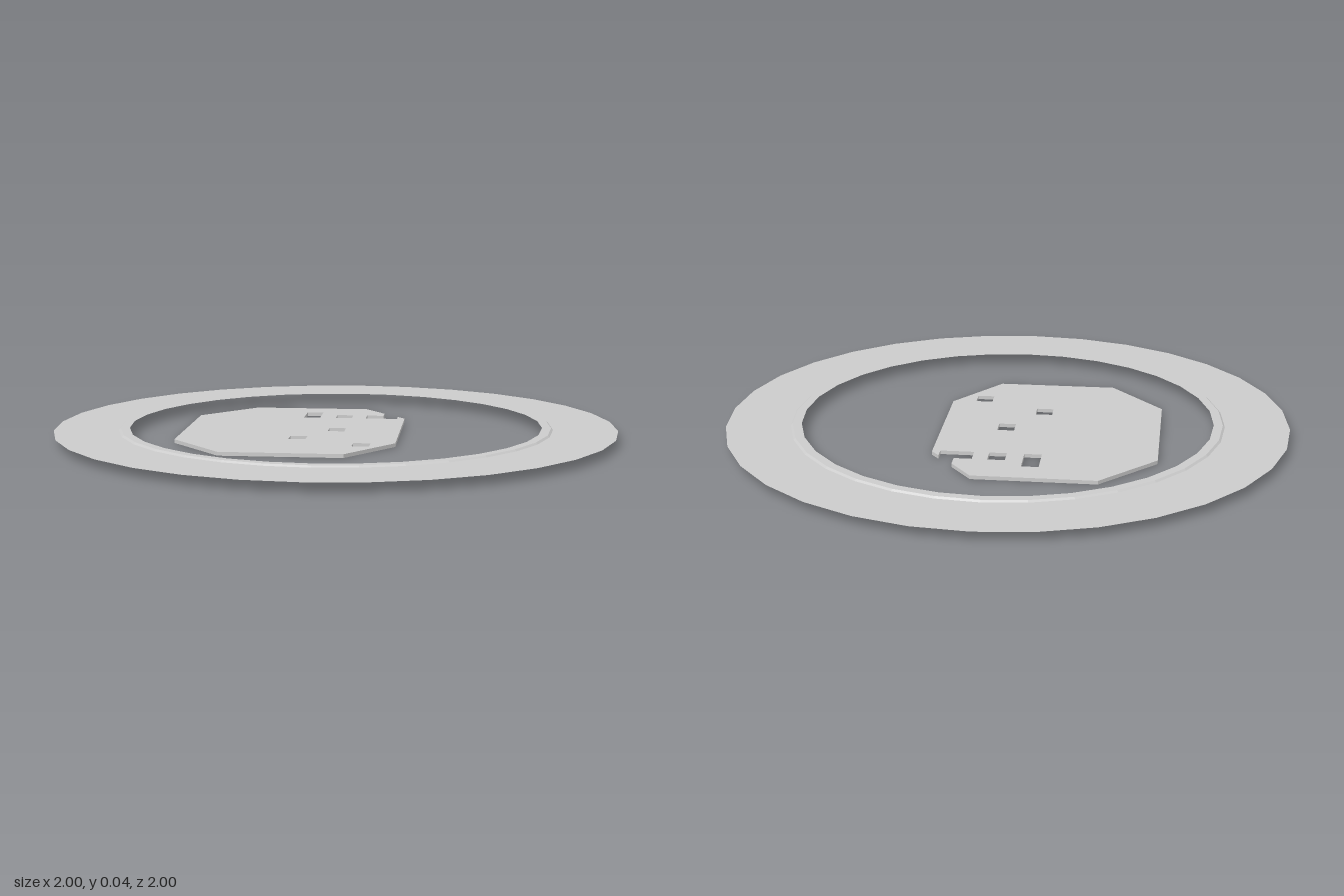
import * as THREE from 'three';

const material = new THREE.MeshStandardMaterial({ color: 0xcccccc, flatShading: true, side: THREE.DoubleSide });

// Turns [x, z] floor-plan corners into shape points
const plan = (corners) => corners.map(([x, z]) => new THREE.Vector2(x, -z));

function createPlate() {
  // Octagonal outline with a small notch in the back left corner
  const shape = new THREE.Shape(plan([
    [-0.355, -0.505], [-0.545, -0.3], [-0.545, 0.217], [-0.355, 0.437],
    [0.07, 0.437], [0.228, 0.217], [0.228, -0.3], [0.2, -0.335],
    [0.2, -0.29], [0.083, -0.29], [0.083, -0.355], [0.145, -0.355],
    [0.145, -0.405], [0.07, -0.505],
  ]));

  // Rectangular cut-outs: x, z of the back right corner, then depth
  const width = 0.06;
  for (const [x, z, depth] of [
    [-0.15, -0.405, 0.115], [-0.03, -0.355, 0.065], [-0.03, -0.067, 0.065],
    [-0.15, 0.11, 0.06], [0.083, 0.228, 0.06],
  ]) {
    shape.holes.push(new THREE.Path(plan([
      [x, z], [x + width, z], [x + width, z + depth], [x, z + depth],
    ])));
  }

  const geometry = new THREE.ExtrudeGeometry(shape, { depth: 0.013, bevelEnabled: false });
  geometry.rotateX(-Math.PI / 2);
  const plate = new THREE.Mesh(geometry, material);
  plate.name = 'plate';
  return plate;
}

function createRing() {
  // Thin flat ring with a slightly raised inner lip
  const profile = [[1, 0.032], [0.772, 0.032], [0.765, 0.038], [0.733, 0.038]];
  const geometry = new THREE.LatheGeometry(profile.map(([r, y]) => new THREE.Vector2(r, y)), 32);
  const ring = new THREE.Mesh(geometry, material);
  ring.name = 'ring';
  return ring;
}

export function createModel() {
  const model = new THREE.Group();
  model.name = 'ringedPlate';
  model.add(createPlate(), createRing());
  return model;
}
